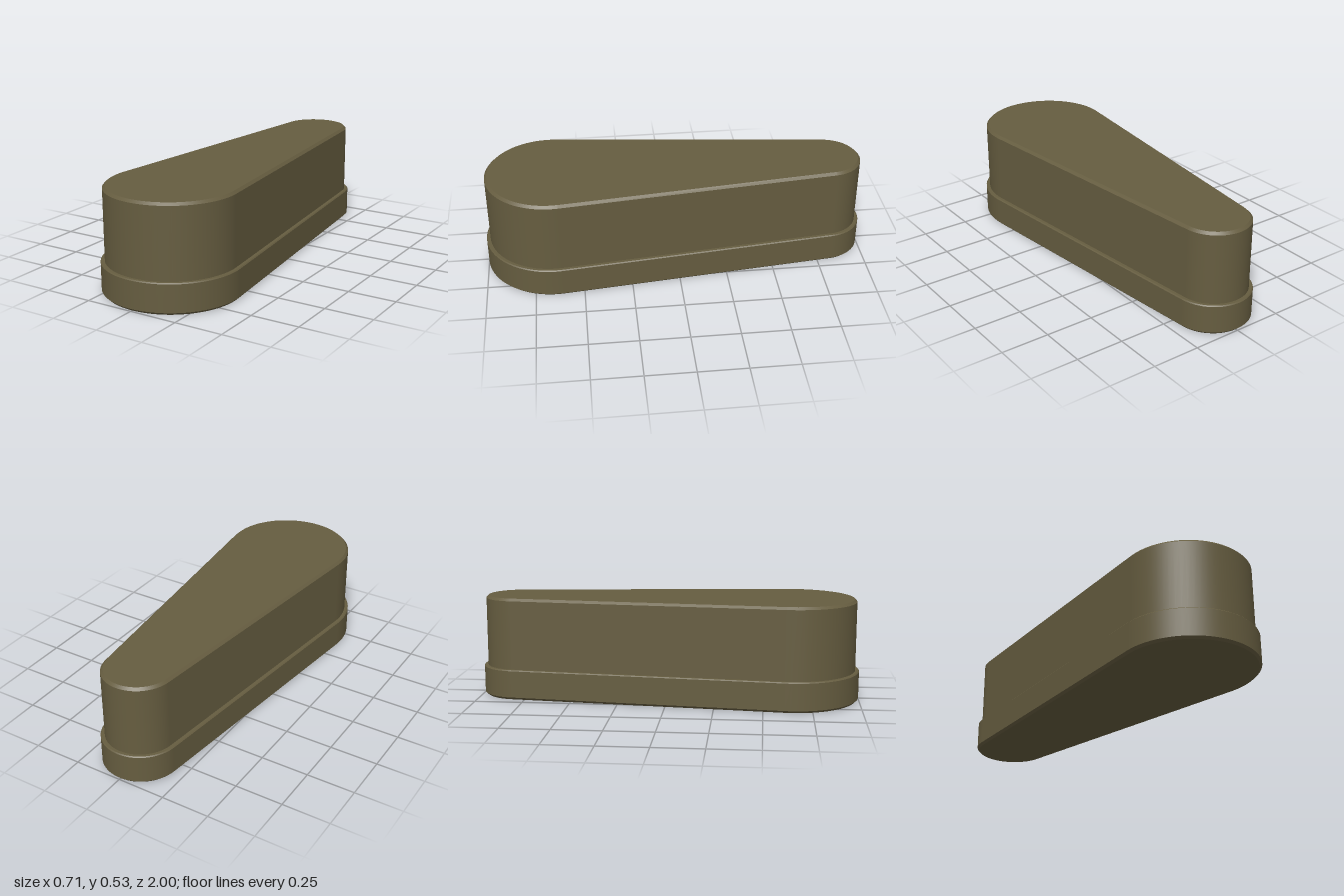
import * as THREE from 'three';

const FRONT = { z: 0.645, r: 0.355 };
const BACK = { z: -0.8, r: 0.2 };
const STEPS = 40;

// Teardrop outline: two arcs joined by their common tangents, shrunk by an inset
function outline(inset) {
  const tilt = Math.asin((FRONT.r - BACK.r) / (FRONT.z - BACK.z));
  const points = [];
  const arc = (end, from, to) => {
    for (let i = 0; i <= STEPS; i++) {
      const t = from + ((to - from) * i) / STEPS;
      const nx = Math.cos(t), nz = Math.sin(t);
      points.push({ nx, nz, x: nx * (end.r - inset), z: end.z + nz * (end.r - inset) });
    }
  };
  arc(FRONT, -tilt, Math.PI + tilt);
  arc(BACK, Math.PI + tilt, 2 * Math.PI - tilt);
  points.push(points[0]);
  return points;
}

// Wall through [inset, height] rows, smooth around and crisp between rows
function wall(rows) {
  const position = [], normal = [], index = [];
  for (let k = 0; k + 1 < rows.length; k++) {
    const [i0, y0] = rows[k], [i1, y1] = rows[k + 1];
    const length = Math.hypot(y1 - y0, i1 - i0);
    const out = (y1 - y0) / length, up = (i1 - i0) / length;
    const low = outline(i0), high = outline(i1);
    const start = position.length / 3;
    low.forEach((p, j) => {
      position.push(p.x, y0, p.z, high[j].x, y1, high[j].z);
      for (let n = 0; n < 2; n++) normal.push(p.nx * out, up, p.nz * out);
      if (j + 1 < low.length) {
        const a = start + j * 2;
        index.push(a, a + 1, a + 2, a + 1, a + 3, a + 2);
      }
    });
  }
  const geometry = new THREE.BufferGeometry();
  geometry.setAttribute('position', new THREE.Float32BufferAttribute(position, 3));
  geometry.setAttribute('normal', new THREE.Float32BufferAttribute(normal, 3));
  geometry.setIndex(index);
  return geometry;
}

// Flat lid facing up (side = 1) or down (side = -1)
function lid([inset, y], side) {
  const points = outline(inset).slice(0, -1).map((p) => new THREE.Vector2(p.x, -side * p.z));
  const geometry = new THREE.ShapeGeometry(new THREE.Shape(points));
  return geometry.rotateX((-side * Math.PI) / 2).translate(0, y, 0);
}

// Closed block with bevels given by its rows
function block(name, rows, material) {
  const group = new THREE.Group();
  group.name = name;
  const add = (part, geometry) => {
    const mesh = new THREE.Mesh(geometry, material);
    mesh.name = name + part;
    group.add(mesh);
  };
  add('Wall', wall(rows));
  add('Top', lid(rows[rows.length - 1], 1));
  add('Bottom', lid(rows[0], -1));
  return group;
}

export function createModel() {
  const olive = new THREE.MeshStandardMaterial({ color: 0x665d40 });
  olive.name = 'olive';

  const model = new THREE.Group();
  model.name = 'steppedTeardropBlock';
  // Wide foot with bevelled rims
  model.add(block('base', [[0.012, 0], [0, 0.012], [0, 0.153], [0.005, 0.158]], olive));
  // Tall upper body, set in from the foot
  model.add(block('body', [[0.02, 0.15], [0.02, 0.52], [0.033, 0.533]], olive));
  return model;
}
